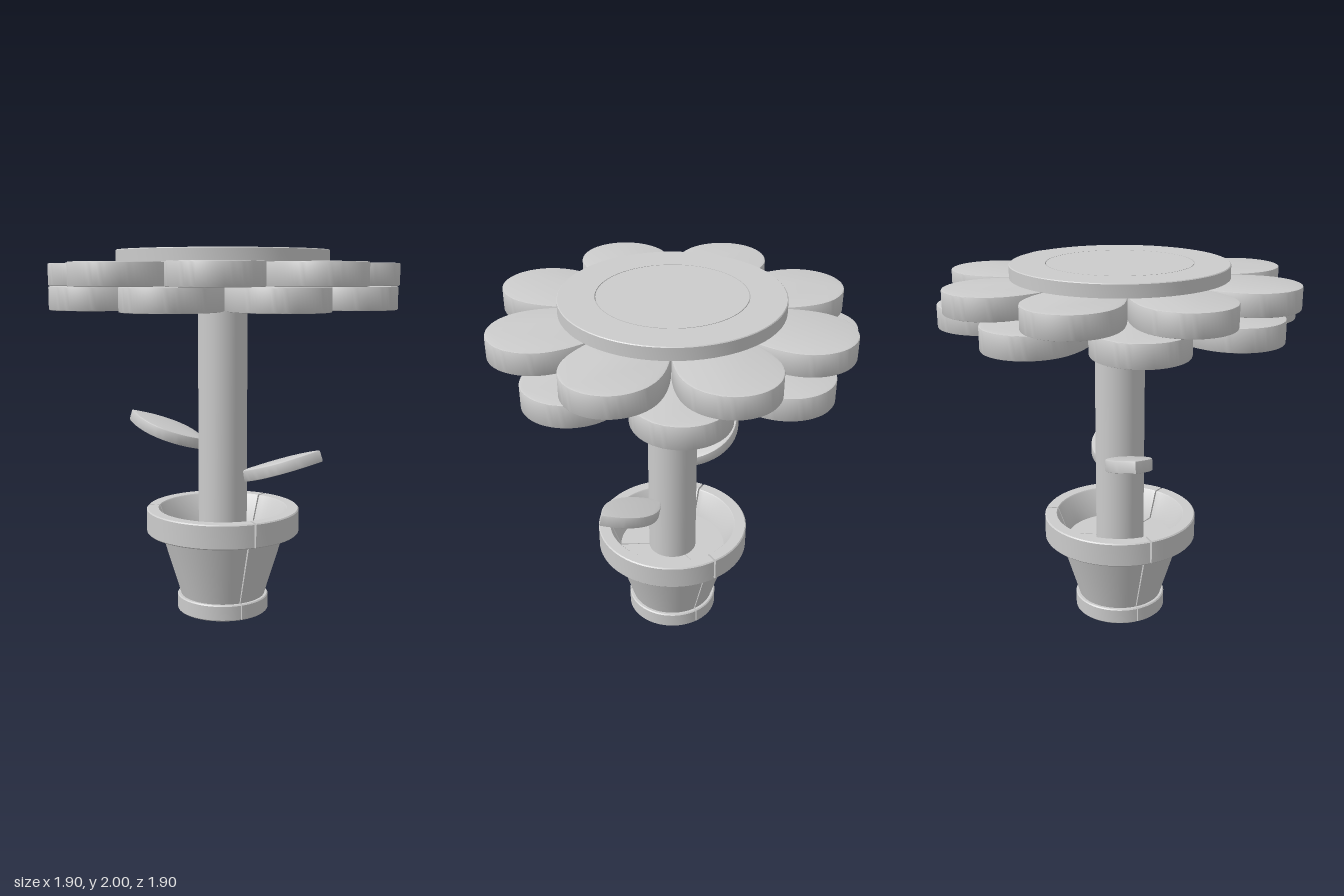
import * as THREE from 'three';
import { toCreasedNormals } from 'three/addons/utils/BufferGeometryUtils.js';

const material = new THREE.MeshStandardMaterial({ color: 0xcccccc });
const doubleSided = new THREE.MeshStandardMaterial({ color: 0xcccccc, side: THREE.DoubleSide });
const deg = THREE.MathUtils.degToRad;
const points = (list) => list.map(([x, y]) => new THREE.Vector2(x, y));

function addMesh(parent, name, geometry, mat = material) {
  const mesh = new THREE.Mesh(geometry, mat);
  mesh.name = name;
  parent.add(mesh);
  return mesh;
}

// Revolved solid with sharp profile corners
function lathe(profile, segments = 64, start = 0, length = Math.PI * 2) {
  return toCreasedNormals(new THREE.LatheGeometry(points(profile), segments, start, length), 0.6);
}

// Flat outline along +x, mirrored over the x axis, thickened upwards with a small bevel
function slab(outline, height, bevel) {
  const half = outline.getPoints(20);
  const mirrored = half.slice(1, -1).reverse().map((p) => new THREE.Vector2(p.x, -p.y));
  const geometry = new THREE.ExtrudeGeometry(new THREE.Shape([...half, ...mirrored]), {
    depth: height - 2 * bevel,
    bevelThickness: bevel,
    bevelSize: bevel,
    bevelOffset: -bevel,
    bevelSegments: 2,
  });
  geometry.translate(0, 0, bevel);
  geometry.rotateX(-Math.PI / 2);
  return toCreasedNormals(geometry, 0.6);
}

export function createModel() {
  const model = new THREE.Group();
  model.name = 'pottedFlower';

  // Pot: three equal sectors separated by narrow seams
  const potProfile = [
    [0, 0], [0.249, 0], [0.255, 0.006], [0.255, 0.084], [0.249, 0.09], [0.235, 0.09],
    [0.345, 0.45], [0.419, 0.45], [0.425, 0.456], [0.425, 0.579], [0.419, 0.585],
    [0.36, 0.585], [0.354, 0.579], [0.3, 0.43], [0, 0.43],
  ];
  const pot = new THREE.Group();
  pot.name = 'pot';
  model.add(pot);
  const seam = deg(1.5);
  for (let i = 0; i < 3; i++) {
    const start = deg(45 + 120 * i) + seam / 2;
    const length = deg(120) - seam;
    addMesh(pot, 'potSector', lathe(potProfile, 24, start, length));
    for (const angle of [start, start + length]) {
      const wall = new THREE.ShapeGeometry(new THREE.Shape(points(potProfile)));
      addMesh(pot, 'potSeamWall', wall, doubleSided).rotation.y = angle - Math.PI / 2;
    }
  }

  // Stem
  const stem = new THREE.CylinderGeometry(0.135, 0.135, 1.53, 48);
  addMesh(model, 'stem', stem).position.y = 0.42 + 1.53 / 2;

  // Leaves: one on each side, rising outwards
  const leafOutline = new THREE.Path()
    .moveTo(0, 0)
    .bezierCurveTo(0.12, 0.155, 0.32, 0.17, 0.475, 0);
  const leafGeometry = slab(leafOutline, 0.064, 0.006);
  for (const [name, turn, y] of [['leftLeaf', 0, 0.735], ['rightLeaf', Math.PI, 0.9]]) {
    const leaf = new THREE.Group();
    leaf.name = name;
    leaf.rotation.y = turn;
    leaf.position.y = y;
    const blade = addMesh(leaf, 'leafBlade', leafGeometry);
    blade.position.x = 0.125;
    blade.rotation.z = deg(18);
    model.add(leaf);
  }

  // Petals: two layers of eight, the upper one turned
  const petalOutline = new THREE.Path()
    .moveTo(0.08, 0)
    .bezierCurveTo(0.3, 0.115, 0.5, 0.24, 0.69, 0.24)
    .bezierCurveTo(0.84, 0.24, 0.95, 0.13, 0.95, 0);
  const petalGeometry = slab(petalOutline, 0.12, 0.006);
  for (const [name, y, offset] of [['lowerPetals', 1.69, 0], ['upperPetals', 1.81, -18.5]]) {
    const layer = new THREE.Group();
    layer.name = name;
    layer.position.y = y;
    for (let i = 0; i < 8; i++) {
      addMesh(layer, 'petal', petalGeometry).rotation.y = deg(offset + 45 * i + (offset ? 90 - 53 : 0));
    }
    model.add(layer);
  }

  // Flower centre: a ring with a flush round insert
  addMesh(model, 'centreRing', lathe([
    [0.387, 1.93], [0.575, 1.93], [0.575, 1.996], [0.571, 2], [0.387, 2], [0.387, 1.93],
  ]));
  addMesh(model, 'centreInsert', lathe([
    [0, 1.93], [0.383, 1.93], [0.383, 2], [0, 2],
  ]));

  return model;
}
